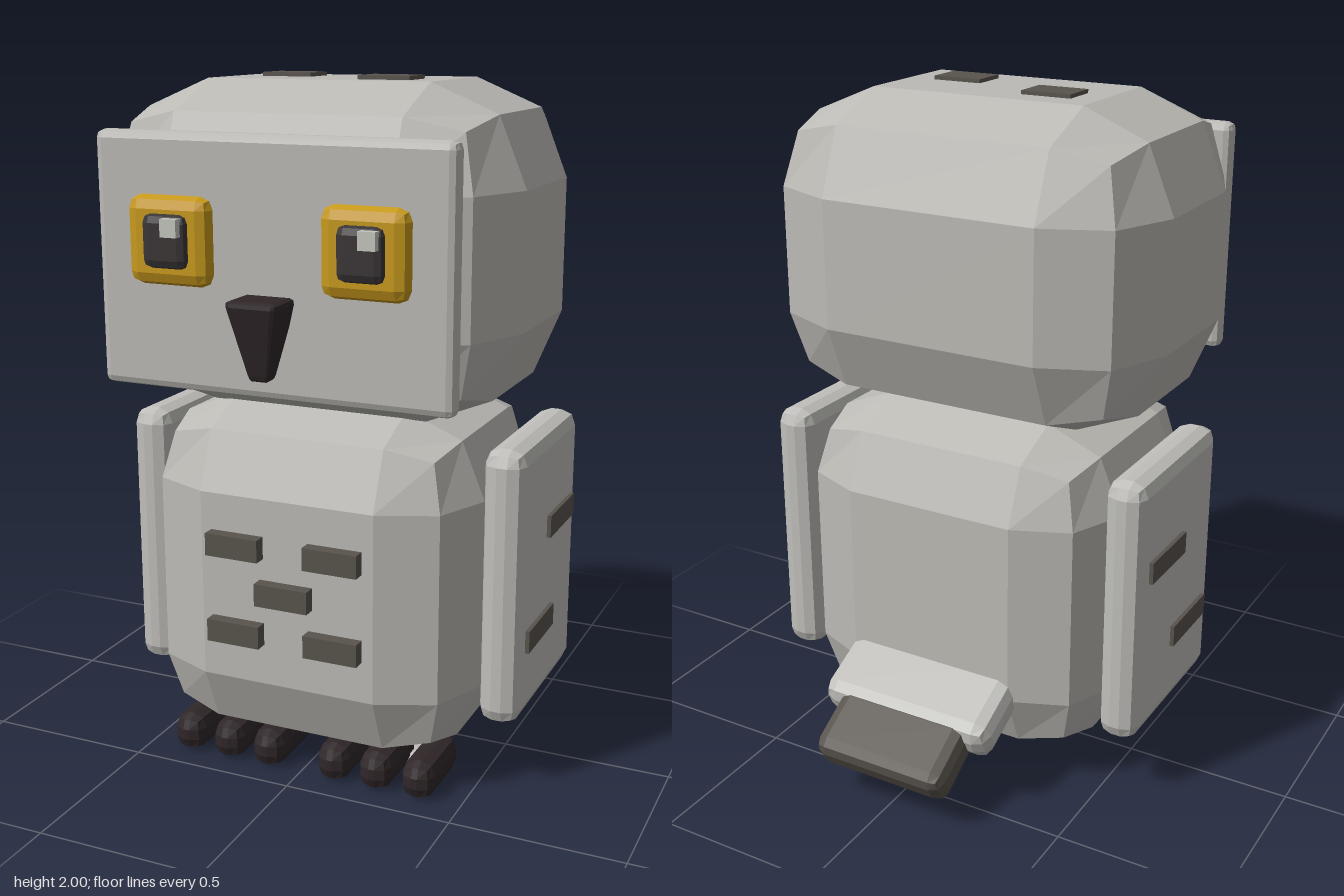
import * as THREE from 'three';
import { RoundedBoxGeometry } from 'three/addons/geometries/RoundedBoxGeometry.js';

const material = (name, color) => {
  const m = new THREE.MeshStandardMaterial({ color, flatShading: true });
  m.name = name;
  return m;
};

export function createModel() {
  const owl = new THREE.Group();
  owl.name = 'owl';

  const grey = material('feather grey', 0xbcbab5);
  const pale = material('pale grey', 0xbfbeba);
  const brown = material('speckle brown', 0x58534c);
  const gold = material('eye gold', 0xc7991c);
  const black = material('pupil black', 0x3a3536);
  const horn = material('claw and beak', 0x2f2628);
  const glint = material('eye glint', 0xc4c6be);

  const add = (name, geometry, mat, x, y, z, tilt = 0) => {
    const mesh = new THREE.Mesh(geometry, mat);
    mesh.name = name;
    mesh.position.set(x, y, z);
    mesh.rotation.x = tilt;
    owl.add(mesh);
    return mesh;
  };
  // Box with two-step faceted edges
  const soft = (w, h, d, r) => {
    const g = new RoundedBoxGeometry(w, h, d, 1, r);
    g.computeVertexNormals();
    return g;
  };
  const box = (w, h, d) => new THREE.BoxGeometry(w, h, d);

  // Body and head
  add('body', soft(1, 1.024, 0.866, 0.235), grey, 0, 0.582, 0.056);
  add('head', soft(1.2, 0.916, 0.905, 0.27), grey, 0, 1.531, 0.087);
  add('facePlate', soft(1.034, 0.695, 0.064, 0.022), grey, 0, 1.516, 0.535);

  // Beak: a soft block narrowing downward
  const beak = soft(0.156, 0.216, 0.14, 0.016);
  const p = beak.attributes.position;
  for (let i = 0; i < p.count; i++) {
    const s = 0.34 + 0.66 * (p.getY(i) / 0.216 + 0.5);
    p.setX(i, p.getX(i) * s);
    p.setZ(i, p.getZ(i) * s);
  }
  beak.computeVertexNormals();
  add('beak', beak, horn, 0, 1.341, 0.609);

  // Speckles on chest and crown
  for (const [x, y] of [[-0.152, 0.717], [0.15, 0.717], [0, 0.588], [-0.152, 0.458], [0.15, 0.458]])
    add('chestSpeckle', box(0.163, 0.066, 0.06), brown, x, y, 0.497);
  add('crownSpeckle', box(0.151, 0.03, 0.108), brown, -0.175, 1.985, 0.04);
  add('crownSpeckle', box(0.151, 0.03, 0.11), brown, 0.17, 1.985, 0.15);

  for (const s of [1, -1]) {
    // Eyes: both glints sit on the same side
    add('eyeRim', soft(0.247, 0.24, 0.07, 0.035), gold, s * 0.281, 1.579, 0.572);
    add('pupil', soft(0.136, 0.148, 0.06, 0.025), black, s * 0.28, 1.581, 0.597);
    add('eyeGlint', box(0.048, 0.048, 0.03), glint, s * 0.281 + 0.03, 1.621, 0.63);

    // Wings with two speckles each
    add('wing', soft(0.12, 0.81, 0.56, 0.045), pale, s * 0.557, 0.61, 0.01);
    add('wingSpeckle', box(0.03, 0.066, 0.236), brown, s * 0.614, 0.733, -0.08);
    add('wingSpeckle', box(0.03, 0.066, 0.236), brown, s * 0.614, 0.445, 0.099);

    // Feet: pale sole, three front toes and a back toe
    add('sole', soft(0.14, 0.04, 0.26, 0.01), pale, s * 0.238, 0.028, 0.13);
    for (const x of [0.106, 0.238, 0.37])
      add('frontToe', soft(0.098, 0.112, 0.252, 0.04), horn, s * x, 0.056, 0.311);
    add('backToe', soft(0.15, 0.08, 0.14, 0.035), horn, s * 0.238, 0.06, 0.033, 0.3);
  }

  // Tail sloping down and back
  add('tailBase', soft(0.56, 0.13, 0.3, 0.045), pale, 0, 0.288, -0.394, -0.44);
  add('tailTip', soft(0.43, 0.12, 0.22, 0.038), brown, 0, 0.19, -0.572, -0.53);

  return owl;
}
